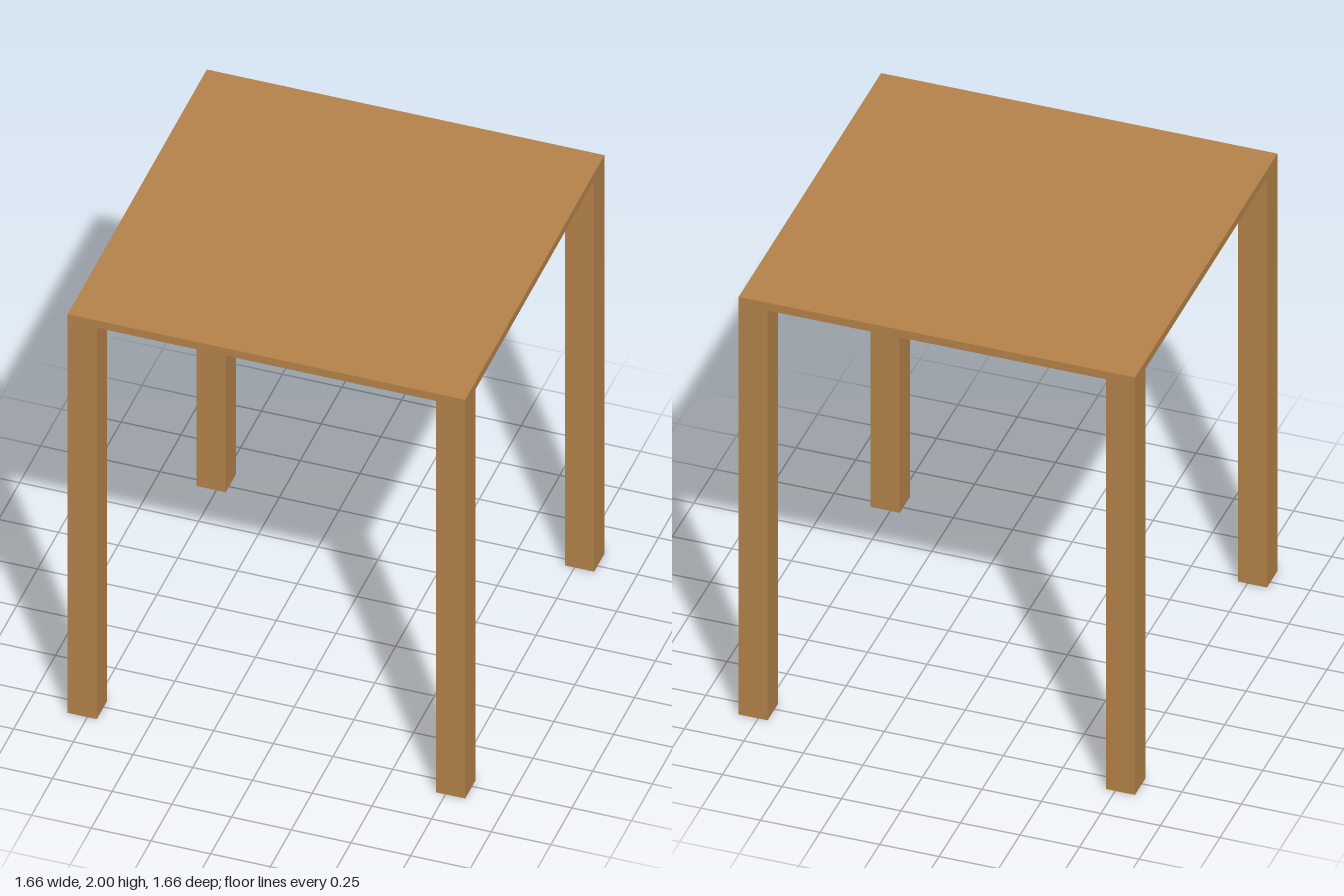
import * as THREE from 'three';

const WIDTH = 1.665, HEIGHT = 2, TOP = 0.037, LEG = 0.122;

export function createModel() {
  const group = new THREE.Group();
  group.name = 'table';

  const wood = new THREE.MeshStandardMaterial({ color: 0xb5834a });
  wood.name = 'wood';

  // Thin square table top
  const tableTop = new THREE.Mesh(new THREE.BoxGeometry(WIDTH, TOP, WIDTH), wood);
  tableTop.name = 'tableTop';
  tableTop.position.y = HEIGHT - TOP / 2;
  group.add(tableTop);

  // Four square legs, flush with the corners of the top
  const legHeight = HEIGHT - TOP;
  const legGeometry = new THREE.BoxGeometry(LEG, legHeight, LEG);
  const offset = (WIDTH - LEG) / 2;
  for (const [zSide, zName] of [[1, 'front'], [-1, 'back']]) {
    for (const [xSide, xName] of [[1, 'Left'], [-1, 'Right']]) {
      const leg = new THREE.Mesh(legGeometry, wood);
      leg.name = `${zName}${xName}Leg`;
      leg.position.set(xSide * offset, legHeight / 2, zSide * offset);
      group.add(leg);
    }
  }

  return group;
}
